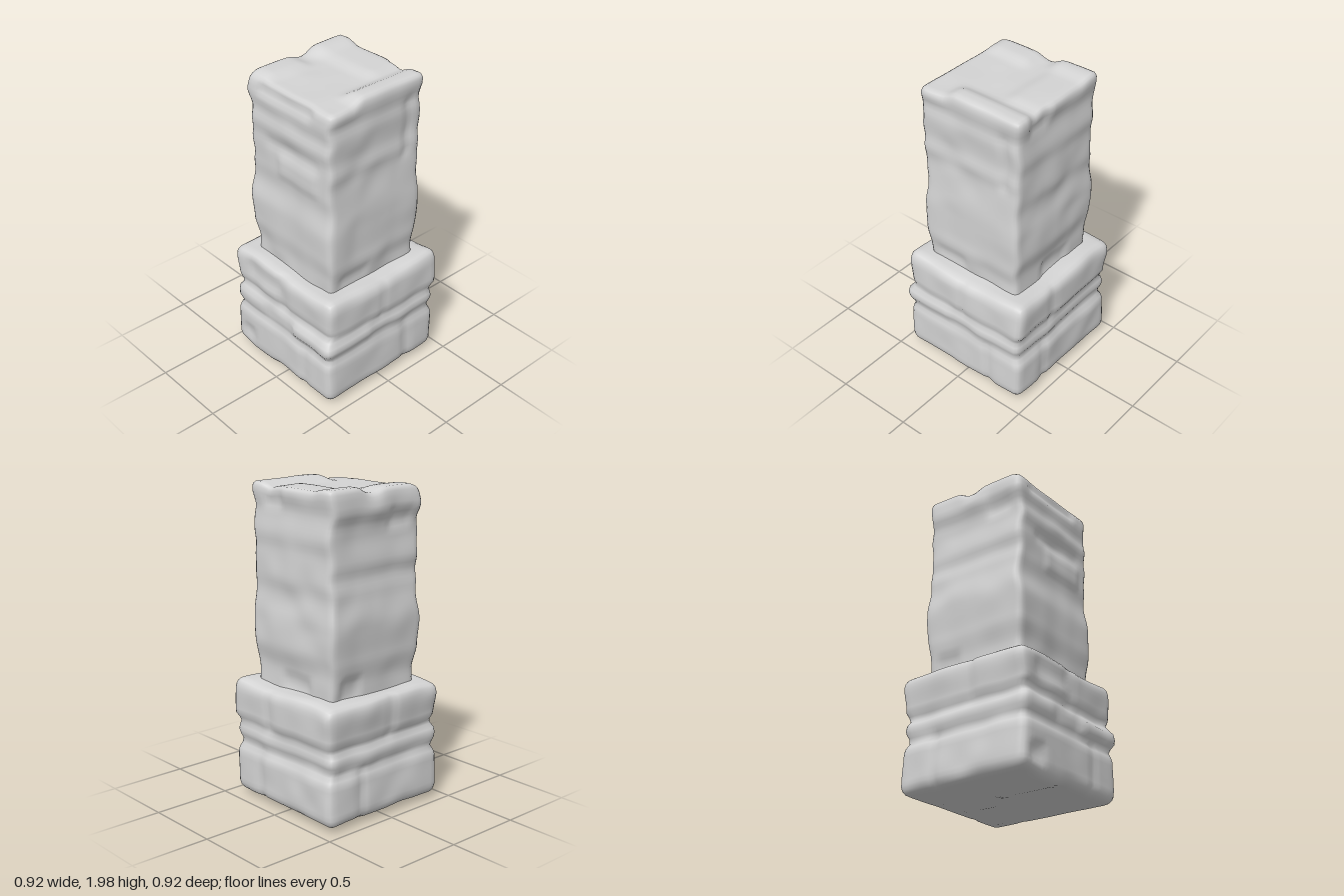
import * as THREE from 'three';
import { mergeVertices } from 'three/addons/utils/BufferGeometryUtils.js';

const { smoothstep, clamp, lerp } = THREE.MathUtils;

// Repeatable value noise in -1..1
function hash(x, y, z) {
  const s = Math.sin(x * 127.1 + y * 311.7 + z * 74.7) * 43758.5453;
  return (s - Math.floor(s)) * 2 - 1;
}
function noise(x, y, z) {
  const X = Math.floor(x), Y = Math.floor(y), Z = Math.floor(z);
  const [u, v, w] = [x - X, y - Y, z - Z].map(t => t * t * (3 - 2 * t));
  const row = (j, k) => lerp(hash(X, Y + j, Z + k), hash(X + 1, Y + j, Z + k), u);
  return lerp(lerp(row(0, 0), row(1, 0), v), lerp(row(0, 1), row(1, 1), v), w);
}

// Distance of a side from the axis at a height, from [y, distance] rows
function profileAt(rows, y) {
  if (y <= rows[0][0]) return rows[0][1];
  for (let i = 1; i < rows.length; i++) {
    const [y0, a] = rows[i - 1], [y1, b] = rows[i];
    if (y <= y1) return lerp(a, b, smoothstep(y, y0, y1));
  }
  return rows[rows.length - 1][1];
}

// Soft-edged rectangle, 1 inside and 0 outside
function pad(u, v, u0, u1, v0, v1, soft = 0.06) {
  return smoothstep(u, u0 - soft / 2, u0 + soft / 2) * (1 - smoothstep(u, u1 - soft / 2, u1 + soft / 2)) *
    smoothstep(v, v0 - soft / 2, v0 + soft / 2) * (1 - smoothstep(v, v1 - soft / 2, v1 + soft / 2));
}

// The model's left is +x
const sides = {
  front: { axis: 'z', sign: 1, across: 'x' },
  back: { axis: 'z', sign: -1, across: 'x' },
  left: { axis: 'x', sign: 1, across: 'z' },
  right: { axis: 'x', sign: -1, across: 'z' },
};

// Rounded block, shaped by a profile on each side, carved by stones and roughened
function stoneBlock({ name, y0, y1, width, rows, radius, stones, topRule, bottomRule, seed, rough }, material) {
  const h = y1 - y0, n = 28;
  let g = new THREE.BoxGeometry(2 * width, h, 2 * width, n, Math.round(h / 0.028), n);
  g.deleteAttribute('uv');
  g.deleteAttribute('normal');
  g = mergeVertices(g);
  const pos = g.attributes.position, p = new THREE.Vector3(), inner = new THREE.Vector3(), q = new THREE.Vector3();
  for (let i = 0; i < pos.count; i++) {
    p.fromBufferAttribute(pos, i);
    inner.set(
      clamp(p.x, radius - width, width - radius),
      clamp(p.y, radius - h / 2, h / 2 - radius),
      clamp(p.z, radius - width, width - radius));
    q.subVectors(p, inner);
    if (q.lengthSq() > 0) p.copy(inner).add(q.setLength(radius));
    p.y += (y0 + y1) / 2;
    q.copy(p);

    // Courses
    p.x *= profileAt(q.x > 0 ? rows.left : rows.right, q.y) / width;
    p.z *= profileAt(q.z > 0 ? rows.front : rows.back, q.y) / width;
    // Individual stones and joints on each side
    for (const [sideName, u0, u1, v0, v1, depth] of stones) {
      const s = sides[sideName];
      const near = smoothstep(q[s.axis] * s.sign, width - radius * 1.5, width - radius * 0.4);
      p[s.axis] += s.sign * depth * near * pad(q[s.across], q.y, u0, u1, v0, v1);
    }
    // Uneven top and underside
    p.y += topRule(q.x, q.z) * smoothstep(q.y, y1 - 0.12, y1 - 0.01);
    p.y += bottomRule(q.x, q.z) * (1 - smoothstep(q.y, y0 + 0.01, y0 + 0.12));
    // Weathering
    const f = 7;
    p.x += rough * noise(q.x * f + seed, q.y * f, q.z * f);
    p.y += rough * 0.6 * noise(q.x * f, q.y * f + seed, q.z * f);
    p.z += rough * noise(q.x * f, q.y * f, q.z * f + seed);
    pos.setXYZ(i, p.x, clamp(p.y, 0, 2), p.z);
  }
  g.computeVertexNormals();
  const mesh = new THREE.Mesh(g, material);
  mesh.name = name;
  return mesh;
}

export function createModel() {
  const group = new THREE.Group();
  group.name = 'stonePillar';
  const stone = new THREE.MeshStandardMaterial({ color: 0xd4d4d4 });
  stone.name = 'grey stone';

  // Plinth of three courses
  group.add(stoneBlock({
    name: 'plinth', y0: 0.04, y1: 0.775, width: 0.45, radius: 0.045, seed: 11.3, rough: 0.008,
    rows: {
      right: [[0.04, 0.445], [0.1, 0.455], [0.3, 0.45], [0.36, 0.425], [0.4, 0.442], [0.45, 0.445],
        [0.5, 0.418], [0.55, 0.44], [0.7, 0.455], [0.78, 0.45]],
      left: [[0.04, 0.435], [0.1, 0.446], [0.3, 0.446], [0.37, 0.43], [0.44, 0.45], [0.5, 0.43],
        [0.55, 0.446], [0.7, 0.448], [0.78, 0.435]],
      front: [[0.04, 0.435], [0.1, 0.445], [0.3, 0.448], [0.36, 0.425], [0.4, 0.446], [0.46, 0.446],
        [0.52, 0.415], [0.57, 0.435], [0.7, 0.442], [0.78, 0.435]],
      back: [[0.04, 0.44], [0.1, 0.448], [0.3, 0.45], [0.37, 0.422], [0.43, 0.443], [0.5, 0.43],
        [0.55, 0.452], [0.7, 0.455], [0.78, 0.448]],
    },
    stones: [
      ['front', 0.1, 0.5, 0.38, 0.49, 0.012], ['front', -0.16, 0.1, 0.39, 0.48, -0.012],
      ['front', 0.19, 0.23, 0.0, 0.35, -0.012], ['front', -0.38, -0.27, 0.1, 0.2, -0.018],
      ['front', -0.32, -0.02, 0.62, 0.72, -0.014], ['front', -0.04, 0.04, 0.5, 0.8, -0.01],
      ['left', 0.1, 0.46, 0.38, 0.49, 0.01], ['left', -0.22, -0.18, 0.0, 0.36, -0.015],
      ['left', -0.02, 0.02, 0.5, 0.8, -0.01],
      ['back', 0.1, 0.14, 0.5, 0.8, -0.012], ['back', 0.18, 0.22, 0.0, 0.36, -0.015],
      ['right', 0.03, 0.07, 0.5, 0.8, -0.012], ['right', -0.22, -0.18, 0.0, 0.36, -0.015],
    ],
    topRule: (x, z) => -0.006 + 0.01 * Math.cos(x * 9 - 1.2) * Math.cos(z * 7),
    // Bottom stones sag between their joints
    bottomRule: (x, z) => -0.028 * pad(x, z, -0.34, -0.09, 0.0, 0.46, 0.14)
      - 0.015 * pad(x, z, 0.02, 0.36, 0.05, 0.4, 0.12)
      - 0.018 * pad(x, z, -0.36, 0.02, -0.36, -0.05, 0.12)
      - 0.012 * pad(x, z, 0.1, 0.36, -0.36, -0.03, 0.12),
  }, stone));

  // Shaft with a swollen middle and a capping course
  group.add(stoneBlock({
    name: 'shaft', y0: 0.68, y1: 1.965, width: 0.355, radius: 0.035, seed: 4.7, rough: 0.008,
    rows: {
      right: [[0.68, 0.34], [0.84, 0.34], [1.0, 0.362], [1.2, 0.374], [1.38, 0.355], [1.48, 0.342],
        [1.55, 0.352], [1.7, 0.34], [1.77, 0.342], [1.86, 0.366], [1.96, 0.356]],
      left: [[0.68, 0.332], [0.82, 0.335], [0.95, 0.354], [1.2, 0.355], [1.48, 0.338], [1.56, 0.346],
        [1.64, 0.338], [1.78, 0.348], [1.85, 0.34], [1.92, 0.354], [1.96, 0.354]],
      front: [[0.68, 0.335], [0.85, 0.337], [1.0, 0.355], [1.15, 0.357], [1.31, 0.338], [1.42, 0.348],
        [1.6, 0.343], [1.7, 0.364], [1.77, 0.35], [1.86, 0.357], [1.96, 0.35]],
      back: [[0.68, 0.34], [0.88, 0.338], [1.04, 0.364], [1.2, 0.36], [1.35, 0.347], [1.45, 0.357],
        [1.6, 0.352], [1.7, 0.365], [1.84, 0.348], [1.93, 0.365], [1.96, 0.365]],
    },
    stones: [
      ['front', -0.1, 0.25, 1.4, 1.54, 0.012], ['front', -0.26, 0.2, 1.87, 1.94, -0.018],
      ['front', -0.2, 0.25, 1.56, 1.62, -0.008],
      ['left', -0.28, -0.22, 1.5, 1.85, -0.012], ['left', 0.05, 0.28, 0.78, 0.86, -0.01],
      ['back', -0.15, 0.1, 0.76, 0.86, -0.016], ['back', 0.08, 0.24, 1.86, 2.0, -0.018],
      ['right', -0.28, -0.12, 0.76, 0.88, -0.014], ['right', 0.1, 0.28, 1.74, 1.85, -0.012],
    ],
    // Raised slabs around a worn centre
    topRule: (x, z) => -0.012 + 0.034 * pad(x, z, 0.22, 0.5, -0.5, 0.14, 0.1)
      + 0.038 * pad(x, z, -0.5, -0.24, -0.5, -0.1, 0.1)
      + 0.02 * pad(x, z, -0.24, 0.16, -0.5, -0.12, 0.1)
      + 0.024 * pad(x, z, -0.5, -0.2, 0.02, 0.32, 0.1),
    bottomRule: () => 0,
  }, stone));

  return group;
}
